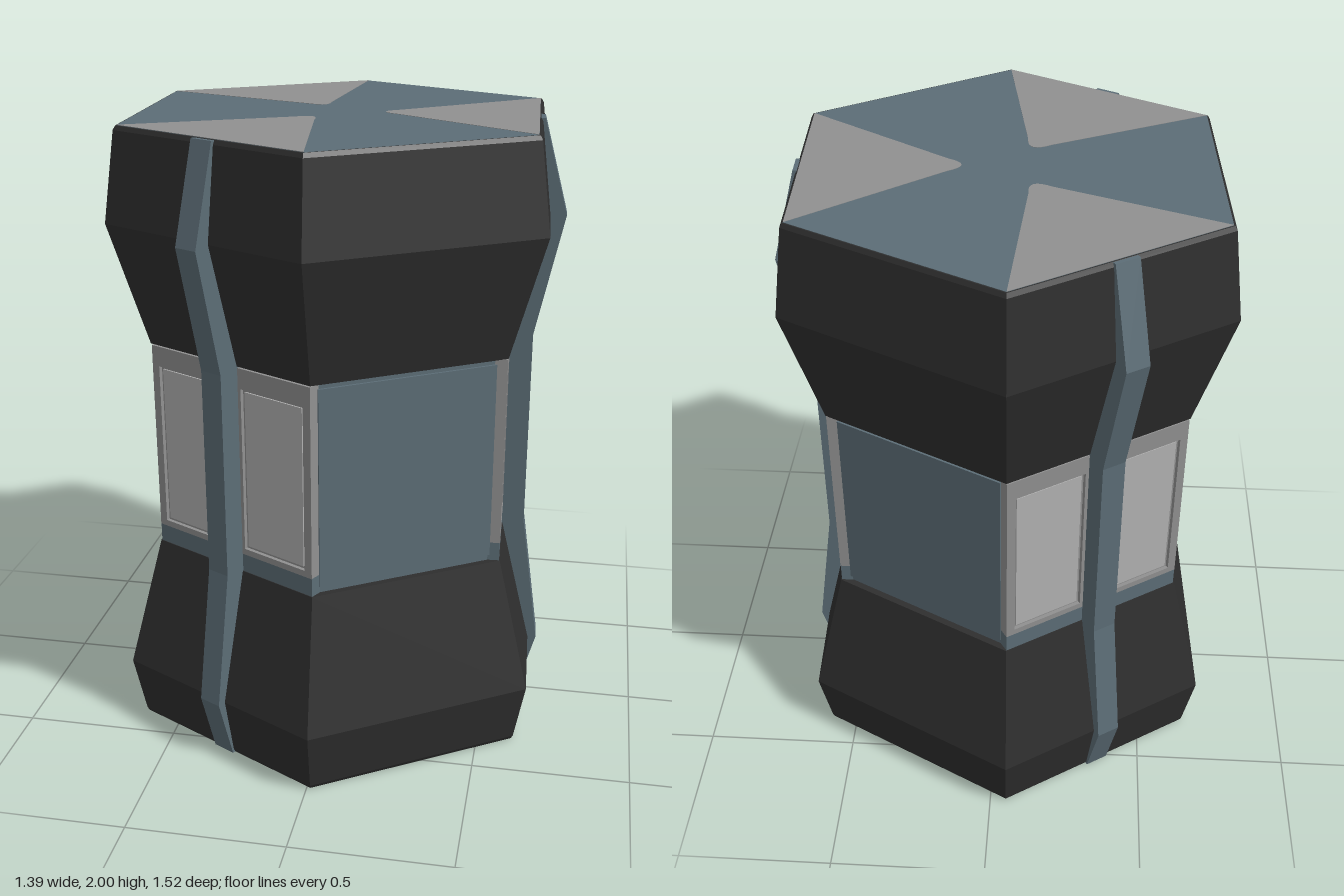
import * as THREE from 'three';

const SIDES = 6, TWIST = THREE.MathUtils.degToRad(2.6), CENTRE_X = -0.02;

const mat = (name, color) => {
  const m = new THREE.MeshStandardMaterial({ color });
  m.name = name;
  return m;
};

const add = (parent, name, geometry, material, x = 0, y = 0, z = 0) => {
  const mesh = new THREE.Mesh(geometry, material);
  mesh.name = name;
  mesh.position.set(x, y, z);
  parent.add(mesh);
  return mesh;
};

// Faceted six-sided solid from [cornerRadius, height] points, bottom to top
const hexLathe = (profile) => {
  const pts = profile.map(([r, y]) => new THREE.Vector2(r, y));
  const g = new THREE.LatheGeometry(pts, SIDES, TWIST).toNonIndexed();
  g.computeVertexNormals();
  return g;
};

const polygon = (pts) => new THREE.Shape(pts.map(([x, y]) => new THREE.Vector2(x, y)));
const rect = (x0, x1, y0, y1) => polygon([[x0, y0], [x1, y0], [x1, y1], [x0, y1]]);

export function createModel() {
  const dark = mat('charcoal shell', 0x2e2e2e);
  const slate = mat('slate metal', 0x5c6d76);
  const grey = mat('grey trim', 0x909090);
  const pale = mat('pale window', 0xb2b2b2);

  const model = new THREE.Group();
  model.name = 'hexCanister';
  const body = new THREE.Group();
  body.name = 'body';
  body.position.x = CENTRE_X;
  model.add(body);

  // Flared shells and the waist core between them
  add(body, 'upperShell', hexLathe([[0.4, 1.32], [0.64, 1.32], [0.76, 1.71], [0.72, 1.985], [0.712, 1.998], [0, 1.998]]), dark);
  add(body, 'lowerShell', hexLathe([[0, 0.002], [0.712, 0.002], [0.72, 0.015], [0.76, 0.21], [0.64, 0.64], [0.4, 0.64]]), dark);
  add(body, 'waistCore', hexLathe([[0.615, 0.63], [0.615, 1.33]]), slate);

  // End caps
  add(body, 'topCap', hexLathe([[0.708, 1.998], [0.708, 1.999], [0, 1.999]]), slate);
  add(body, 'bottomCap', hexLathe([[0, 0.001], [0.708, 0.001], [0.708, 0.002]]), slate);

  // Triangular cap inlay with a rounded tip
  const wedge = new THREE.Shape();
  wedge.moveTo(-0.354, 0.613);
  wedge.lineTo(-0.04, 0.18);
  wedge.quadraticCurveTo(0, 0.1, 0.04, 0.18);
  wedge.lineTo(0.354, 0.613);
  wedge.closePath();
  const wedgeGeo = new THREE.ExtrudeGeometry(wedge, { depth: 0.003, bevelEnabled: false });
  wedgeGeo.rotateX(Math.PI / 2);

  // Window frame: slab with two openings
  const frame = rect(-0.318, 0.318, 0.70, 1.315);
  for (const s of [-1, 1]) {
    const [a, b] = s < 0 ? [-0.29, -0.05] : [0.05, 0.29];
    frame.holes.push(rect(a, b, 0.72, 1.25));
  }
  const frameGeo = new THREE.ExtrudeGeometry(frame, { depth: 0.06, bevelEnabled: false });

  // Upright rib following the shell outline
  const RIB = 0.078;
  const ribGeo = new THREE.ExtrudeGeometry(polygon([
    [0.5, 0.003], [0.628, 0.003], [0.686, 0.21], [0.625, 0.65],
    [0.625, 1.31], [0.71, 1.70], [0.63, 1.997], [0.5, 1.997],
  ]), { depth: RIB, bevelEnabled: false });
  ribGeo.translate(0, 0, -RIB / 2);
  ribGeo.rotateY(-Math.PI / 2);

  for (let k = 0; k < SIDES; k++) {
    const side = new THREE.Group();
    side.rotation.y = Math.PI / 2 + TWIST - k * Math.PI / 3;
    body.add(side);

    if (k % 2 === 0) {
      // Windowed side with rib and cap inlays
      side.name = 'windowSide';
      add(side, 'sill', new THREE.BoxGeometry(0.636, 0.062, 0.06), slate, 0, 0.67, 0.522);
      add(side, 'windowFrame', frameGeo, grey, 0, 0, 0.493);
      for (const s of [-1, 1]) {
        add(side, 'windowSurround', new THREE.BoxGeometry(0.24, 0.53, 0.04), grey, s * 0.17, 0.985, 0.521);
        add(side, 'windowPane', new THREE.BoxGeometry(0.222, 0.512, 0.008), pale, s * 0.17, 0.985, 0.542);
      }
      add(side, 'rib', ribGeo, slate);
      add(side, 'topInlay', wedgeGeo, grey, 0, 2, 0);
      add(side, 'bottomInlay', wedgeGeo, grey, 0, 0.003, 0);
    } else {
      // Plain side with a raised panel
      side.name = 'panelSide';
      add(side, 'panel', new THREE.BoxGeometry(0.58, 0.64, 0.02), slate, 0, 0.98, 0.53);
    }
  }
  return model;
}
